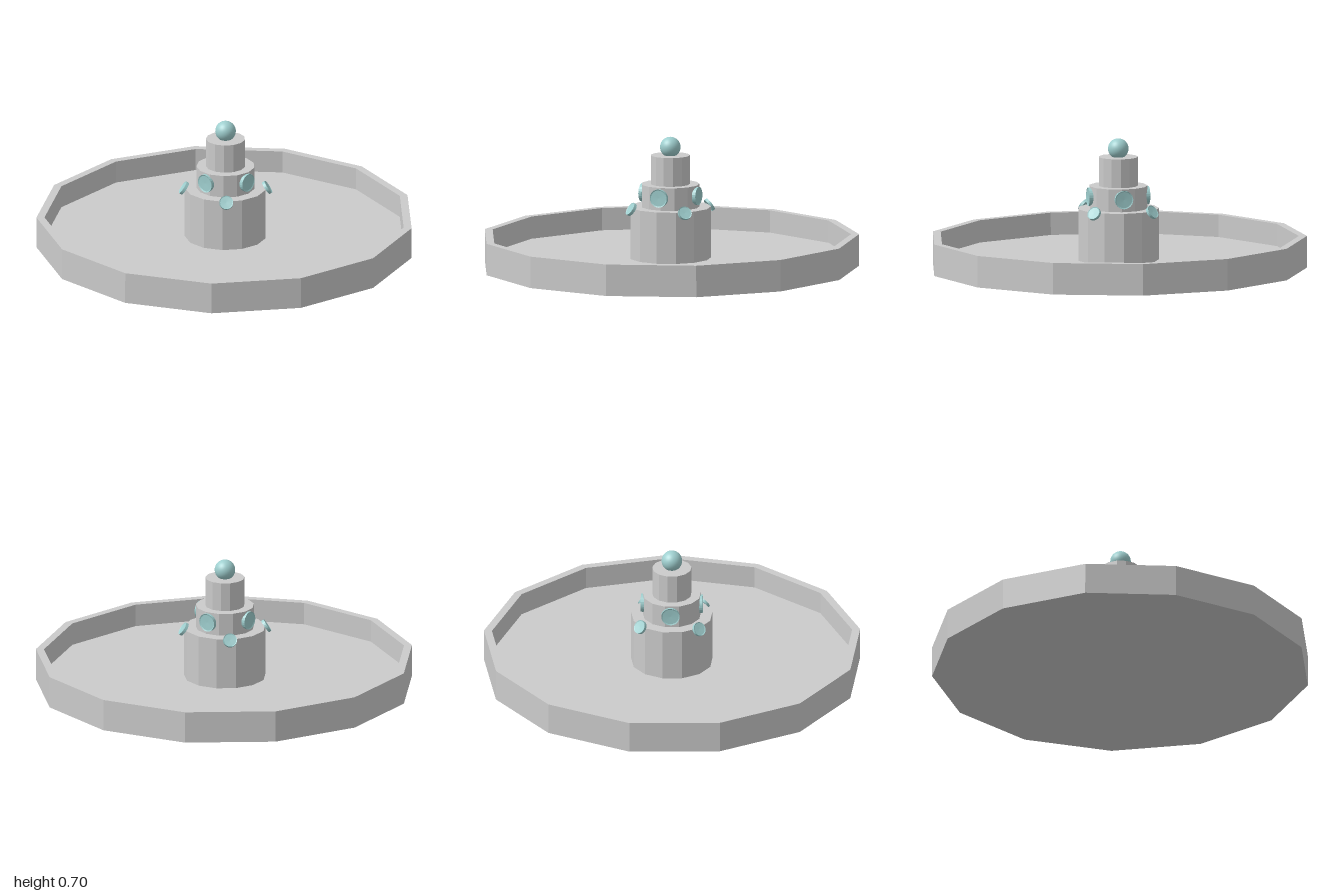
import * as THREE from 'three';

const SIDES = 13;
const TURN = THREE.MathUtils.degToRad(10.3);

export function createModel() {
  const root = new THREE.Group();
  root.name = 'fountain';
  const stone = new THREE.MeshStandardMaterial({ color: 0xcccccc, flatShading: true });
  const teal = new THREE.MeshStandardMaterial({ color: 0x9fcfcf });

  const add = (parent, name, geometry, material) => {
    const mesh = new THREE.Mesh(geometry, material);
    mesh.name = name;
    parent.add(mesh);
    return mesh;
  };
  const lathe = (pairs, sides, start = 0) =>
    new THREE.LatheGeometry(pairs.map(([r, y]) => new THREE.Vector2(r, y)), sides, start);

  // Shallow basin: underside, outer wall, rim, inner wall, floor
  const basin = add(root, 'basin', lathe(
    [[0, 0], [1.01, 0], [1.01, 0.17], [0.967, 0.17], [0.967, 0.05], [0, 0.05]], SIDES, TURN), stone);
  basin.position.set(-0.01, 0.004, 0.005);
  basin.rotation.set(0.002, 0, -0.003);

  const tower = new THREE.Group();
  tower.name = 'tower';
  tower.position.set(-0.013, 0, 0.003);
  root.add(tower);

  // Stacked column tiers: radius, bottom, top
  [['lowerTier', 0.218, 0.045, 0.33], ['middleTier', 0.156, 0.33, 0.452], ['upperTier', 0.105, 0.45, 0.607]]
    .forEach(([name, r, y0, y1]) => {
      const tier = add(tower, name, new THREE.CylinderGeometry(r, r, y1 - y0, SIDES, 1, false, TURN), stone);
      tier.position.y = (y0 + y1) / 2;
    });

  // Ball finial
  add(tower, 'finial', new THREE.SphereGeometry(0.055, 32, 20), teal).position.y = 0.65;

  // Dished discs facing outward, raised by a tilt angle
  const discMaterial = teal.clone();
  discMaterial.flatShading = true;
  const disc = (r, h) => lathe(
    [[0, -h * 0.5], [r * 0.88, -h * 0.7], [r, -h], [r, h], [r * 0.88, h * 0.7], [0, h * 0.5]], 24)
    .rotateX(Math.PI / 2);
  const ringOfDiscs = (name, geometry, start, radius, y, tilt) => {
    for (let i = 0; i < 4; i++) {
      const a = start + i * Math.PI / 2;
      const mesh = add(tower, name, geometry, discMaterial);
      mesh.position.set(Math.sin(a) * radius, y, Math.cos(a) * radius);
      mesh.rotation.set(-tilt, a, 0, 'YXZ');
    }
  };
  ringOfDiscs('middleDisc', disc(0.049, 0.01), 0, 0.155, 0.396, 0);
  ringOfDiscs('edgeDisc', disc(0.037, 0.008), Math.PI / 4 - 0.03, 0.222, 0.326, 0.6);

  return root;
}
